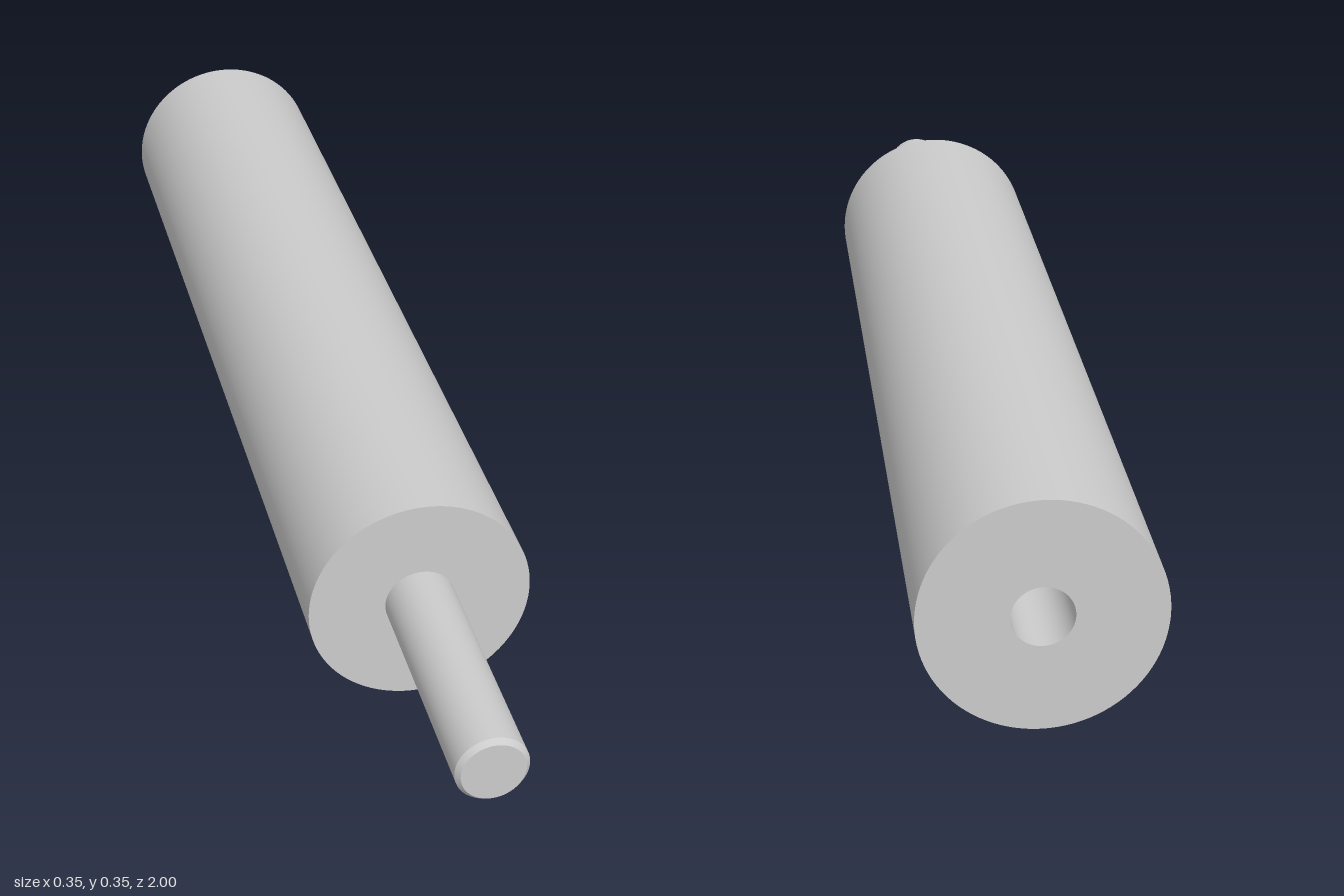
import * as THREE from 'three';
import { mergeGeometries } from 'three/addons/utils/BufferGeometryUtils.js';

const AXIS_HEIGHT = 0.175;

// Turned solid along z; each profile segment is lathed separately so edges stay sharp.
// Profile points are [radius, z], with the solid on the left of the path.
function turned(name, profile, material) {
  const segments = [];
  for (let i = 0; i < profile.length - 1; i++) {
    const points = [profile[i], profile[i + 1]].map(([r, z]) => new THREE.Vector2(r, z));
    segments.push(new THREE.LatheGeometry(points, 96));
  }
  const geometry = mergeGeometries(segments);
  geometry.rotateX(Math.PI / 2);
  geometry.translate(0, AXIS_HEIGHT, 0);
  const mesh = new THREE.Mesh(geometry, material);
  mesh.name = name;
  return mesh;
}

export function createModel() {
  const group = new THREE.Group();
  group.name = 'standoffPost';
  const material = new THREE.MeshStandardMaterial({ color: 0xcccccc });

  // Cylindrical body with a blind hole in the back and a seat for the stud in front
  group.add(turned('body', [
    [0, -0.55], [0.045, -0.55], [0.045, -1],
    [0.175, -1], [0.175, 0.6], [0.055, 0.6],
  ], material));

  // Front stud with a small chamfer at its tip
  group.add(turned('stud', [
    [0.055, 0.6], [0.055, 0.992], [0.048, 1], [0, 1],
  ], material));

  return group;
}
